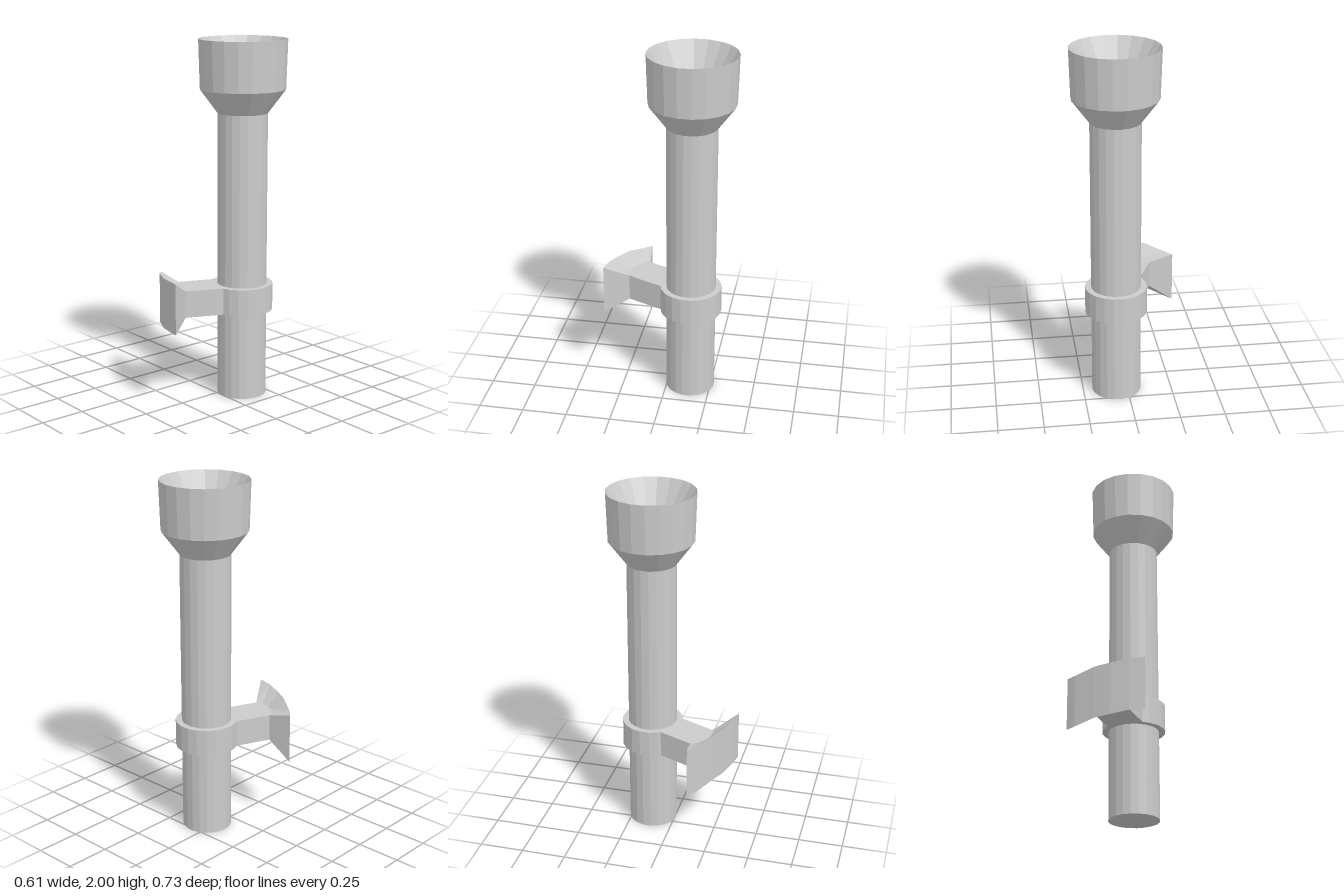
import * as THREE from 'three';

const SIDES = 20;
const AXIS = new THREE.Vector3(0.06, 0, -0.132);
const TURN = THREE.MathUtils.degToRad(7.5);
const material = new THREE.MeshStandardMaterial({ color: 0xcccccc, flatShading: true });

function addMesh(group, name, geometry) {
  const mesh = new THREE.Mesh(geometry, material);
  mesh.name = name;
  group.add(mesh);
  return mesh;
}

// Turned part around the pole axis, from [radius, y] pairs
function addTurned(group, name, profile) {
  const points = profile.map(([r, y]) => new THREE.Vector2(r, y));
  addMesh(group, name, new THREE.LatheGeometry(points, SIDES, TURN)).position.copy(AXIS);
}

// Flared plate: one four-cornered section per column, running left to right in x
function flareGeometry(inner, outer, low, high, height) {
  const position = [], index = [];
  inner.forEach(([x, z], i) => {
    const [ox, oz, top] = outer[i];
    position.push(x, low, z, ox, top - height, oz, ox, top, oz, x, high, z);
  });
  const last = (inner.length - 1) * 4;
  for (let c = 0; c < last; c += 4) {
    for (let j = 0; j < 3; j++) {
      const a = c + j, b = a + 4;
      index.push(a, b, b + 1, a, b + 1, a + 1);
    }
  }
  index.push(0, 1, 2, 0, 2, 3);
  index.push(last + 3, last + 2, last + 1, last + 3, last + 1, last);
  const geometry = new THREE.BufferGeometry();
  geometry.setAttribute('position', new THREE.Float32BufferAttribute(position, 3));
  geometry.setIndex(index);
  geometry.computeVertexNormals();
  return geometry;
}

export function createModel() {
  const model = new THREE.Group();
  model.name = 'funnelPole';
  const low = 0.495, high = 0.645;

  // Pole, funnel head with sloping inside, and collar
  addTurned(model, 'pole', [[0, 0], [0.138, 0], [0.138, 1.6]]);
  addTurned(model, 'funnelHead', [
    [0.138, 1.6], [0.235, 1.73], [0.243, 2], [0.088, 1.73], [0, 1.73],
  ]);
  addTurned(model, 'collar', [
    [0.136, low], [0.172, low], [0.172, high], [0.136, high],
  ]);

  // Arm from the collar, ending in a curved edge (plan points are x, z)
  const armEnd = [
    [-0.168, 0.143], [-0.15, 0.18], [-0.12, 0.21],
    [-0.08, 0.23], [-0.035, 0.237], [0.01, 0.23],
  ];
  const start = [[0.1, 0.027], [-0.084, -0.054]];
  const plan = new THREE.Shape([...start, ...armEnd].map(([x, z]) => new THREE.Vector2(x, z)));
  const arm = new THREE.ExtrudeGeometry(plan, { depth: high - low, bevelEnabled: false });
  arm.rotateX(Math.PI / 2).translate(0, high, 0);
  addMesh(model, 'arm', arm);

  // Curved end plate, flaring from the arm (x, z, top edge height)
  const plateFront = [
    [-0.305, 0.158, 0.68], [-0.265, 0.2, 0.683], [-0.165, 0.267, 0.709],
    [-0.085, 0.31, 0.714], [0.01, 0.345, 0.725], [0.092, 0.362, 0.727],
  ];
  addMesh(model, 'endPlate', flareGeometry(armEnd, plateFront, low, high, 0.285));

  return model;
}
